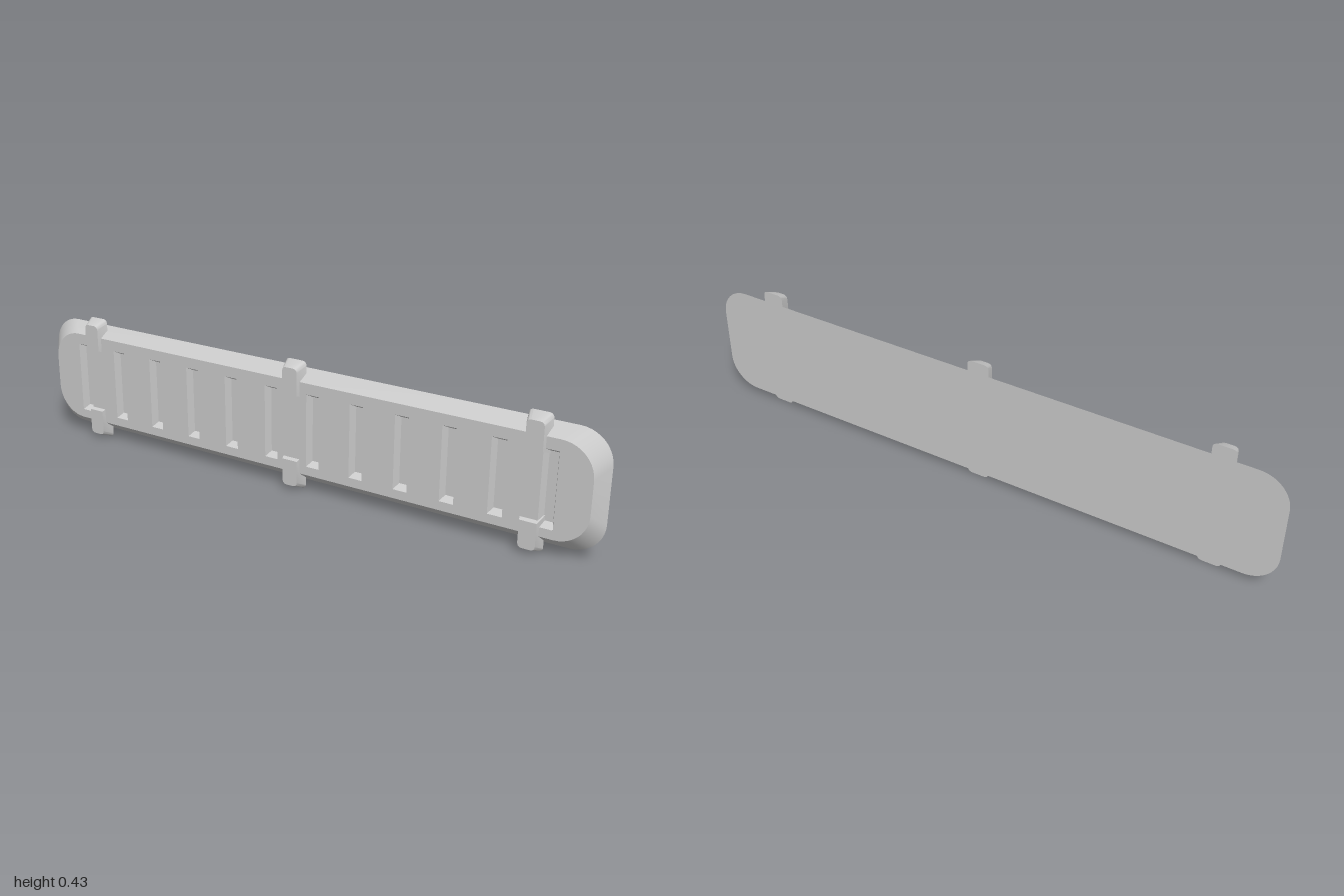
import * as THREE from 'three';
import { mergeGeometries, toCreasedNormals } from 'three/addons/utils/BufferGeometryUtils.js';

const material = new THREE.MeshStandardMaterial({ color: 0xcccccc });
const MID_Y = 0.2125;

// Counter-clockwise rounded rectangle around (cx, cy); radii: bottom-right, top-right, top-left, bottom-left
function roundedLoop(cx, cy, w, h, radii = [0, 0, 0, 0], steps = 10) {
  const pts = [];
  const signs = [[1, -1], [1, 1], [-1, 1], [-1, -1]];
  signs.forEach(([sx, sy], k) => {
    const r = radii[k];
    const n = r > 0 ? steps : 0;
    for (let i = 0; i <= n; i++) {
      const a = (k - 1) * Math.PI / 2 + (n ? (i / n) * Math.PI / 2 : 0);
      pts.push(new THREE.Vector2(
        cx + sx * (w / 2 - r) + r * Math.cos(a),
        cy + sy * (h / 2 - r) + r * Math.sin(a)));
    }
  });
  return pts;
}

// Wall between two loops, facing outward when zB > zA and inward when zB < zA
function wall(a, zA, b, zB) {
  const pos = [];
  for (let i = 0; i < a.length; i++) {
    const j = (i + 1) % a.length;
    const p = [a[i].x, a[i].y, zA], q = [a[j].x, a[j].y, zA];
    const r = [b[j].x, b[j].y, zB], s = [b[i].x, b[i].y, zB];
    pos.push(...p, ...q, ...r, ...p, ...r, ...s);
  }
  const g = new THREE.BufferGeometry();
  g.setAttribute('position', new THREE.Float32BufferAttribute(pos, 3));
  return toCreasedNormals(g, 0.5);
}

// Flat face over a loop, facing +z or (back) -z
function cap(loop, z, back = false, holes = []) {
  const shape = new THREE.Shape(loop);
  shape.holes = holes.map((h) => new THREE.Path(h));
  let g = new THREE.ShapeGeometry(shape);
  if (back) {
    const idx = g.index.array;
    for (let i = 0; i < idx.length; i += 3) [idx[i], idx[i + 1]] = [idx[i + 1], idx[i]];
    g.computeVertexNormals();
  }
  g.translate(0, 0, z);
  g = g.toNonIndexed();
  g.deleteAttribute('uv');
  return g;
}

function addMesh(group, name, geometries) {
  const mesh = new THREE.Mesh(mergeGeometries(geometries), material);
  mesh.name = name;
  group.add(mesh);
}

export function createModel() {
  const model = new THREE.Group();
  model.name = 'slottedPanel';

  // Bevelled plate with a row of tapered recesses in its front
  const backZ = -0.027, frontZ = 0.016, floorZ = -0.008;
  const r = [0.1, 0.1, 0.1, 0.1];
  const outer = roundedLoop(0, MID_Y, 2, 0.375, r);
  const inner = roundedLoop(0, MID_Y, 1.93, 0.305, r);
  const slotMouths = [], slotParts = [];
  for (let i = 0; i < 12; i++) {
    const x = -0.84 + i * (1.68 / 11);
    const mouth = roundedLoop(x, 0.209, 0.046, 0.24);
    const floor = roundedLoop(x, 0.209, 0.028, 0.214);
    slotMouths.push(mouth);
    slotParts.push(wall(mouth, frontZ, floor, floorZ), cap(floor, floorZ));
  }
  addMesh(model, 'plate', [
    wall(outer, backZ, inner, frontZ),
    cap(outer, backZ, true),
    cap(inner, frontZ, false, slotMouths),
  ]);
  addMesh(model, 'slots', slotParts);

  // Tapered clips over the upper and lower edges, rounded on their outer end
  const clipBackZ = -0.011, clipFrontZ = 0.028;
  for (const x of [-0.793, 0, 0.793]) {
    for (const side of [1, -1]) {
      const section = (w, near, far) => {
        const c = 0.013;
        const radii = side > 0 ? [0, c, c, 0] : [c, 0, 0, c];
        return roundedLoop(x, MID_Y + side * (near + far) / 2, w, far - near, radii, 3);
      };
      const back = section(0.074, 0.093, 0.2125);
      const front = section(0.053, 0.1095, 0.196);
      addMesh(model, side > 0 ? 'upperClip' : 'lowerClip', [
        wall(back, clipBackZ, front, clipFrontZ),
        cap(back, clipBackZ, true),
        cap(front, clipFrontZ),
      ]);
    }
  }
  return model;
}
